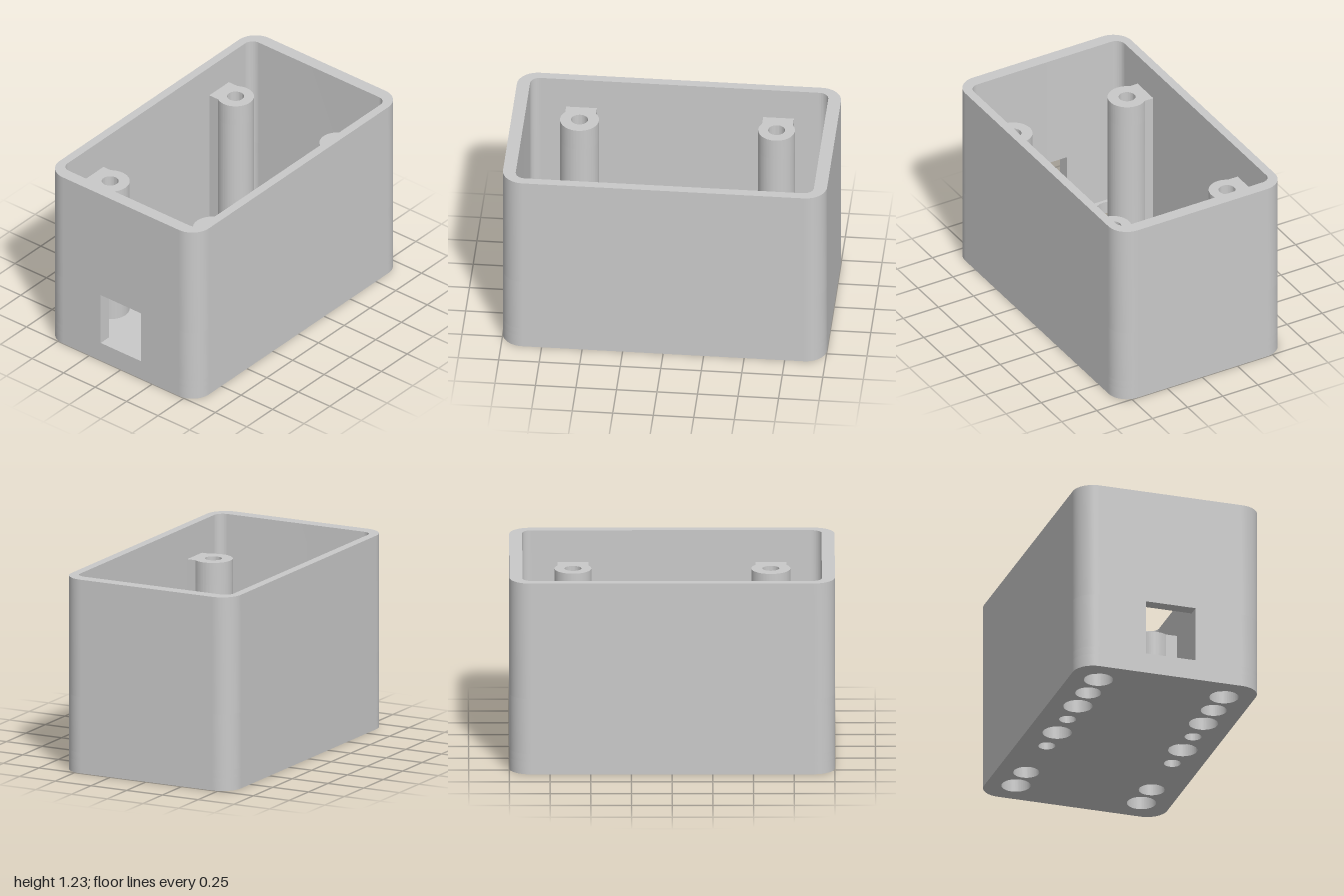
import * as THREE from 'three';
import { toCreasedNormals } from 'three/addons/utils/BufferGeometryUtils.js';

const HX = 1, HZ = 0.592, R = 0.13;        // outer shell
const IX = 0.92, IZ = 0.537, IR = 0.06;    // inner cavity
const HEIGHT = 1.225, FLOOR = 0.08;
const SILL = 0.13, LINTEL = 0.483, GAP = 0.16; // side opening
const ROW_Z = 0.406;

// Clockwise rounded rectangle, starting and ending on the -x side, open by 2 * gap.
// A short straight step on both ends of each corner keeps the flat walls evenly shaded.
function outline(hx, hz, r, gap = 0) {
  const n = 14;
  const pts = [new THREE.Vector2(-hx, gap)];
  const corners = [[-1, 1, Math.PI], [1, 1, Math.PI / 2], [1, -1, 0], [-1, -1, -Math.PI / 2]];
  for (const [sx, sy, start] of corners) {
    for (let i = -1; i <= n + 1; i++) {
      const k = THREE.MathUtils.clamp(i, 0, n);
      const a = start - (k / n) * Math.PI / 2;
      const step = (i - k) * 0.005;
      pts.push(new THREE.Vector2(
        sx * (hx - r) + r * Math.cos(a) + step * Math.sin(a),
        sy * (hz - r) + r * Math.sin(a) - step * Math.cos(a)));
    }
  }
  if (gap > 0) pts.push(new THREE.Vector2(-hx, -gap));
  return pts;
}

// Counter-clockwise, opposite to the outlines, so that bores face inwards.
function circleHole(x, y, r) {
  return new THREE.Path().absarc(x, y, r, 0, Math.PI * 2, false);
}

// Extrudes a plan shape upwards between two heights.
function slab(shape, y0, y1) {
  const geo = new THREE.ExtrudeGeometry(shape, { depth: y1 - y0, bevelEnabled: false, curveSegments: 40 });
  geo.rotateX(-Math.PI / 2).translate(0, y0, 0);
  return toCreasedNormals(geo, 0.5);
}

function ringShape() {
  const shape = new THREE.Shape(outline(HX, HZ, R));
  shape.holes.push(new THREE.Path(outline(IX, IZ, IR).reverse()));
  return shape;
}

// Round post with a straight rib that reaches the wall on the -z side.
function postShape(r, bore) {
  const w = 0.095, wall = IZ - ROW_Z + 0.005;
  const a = Math.acos(w / r);
  const shape = new THREE.Shape();
  shape.moveTo(-w, wall);
  shape.lineTo(w, wall);
  shape.lineTo(w, r * Math.sin(a));
  shape.absarc(0, 0, r, a, Math.PI - a, true);
  shape.closePath();
  shape.holes.push(circleHole(0, 0, bore));
  return shape;
}

export function createModel() {
  const group = new THREE.Group();
  group.name = 'enclosure';
  const grey = new THREE.MeshStandardMaterial({ color: 0xc9c9c9 });
  grey.name = 'grey plastic';
  const add = (name, geo, parent = group) => {
    const mesh = new THREE.Mesh(geo, grey);
    mesh.name = name;
    parent.add(mesh);
  };

  // Floor with two rows of holes: [x, radius]
  const holes = [[-0.81, 0.09], [-0.608, 0.08], [-0.405, 0.09], [-0.203, 0.052],
    [0, 0.09], [0.203, 0.052], [0.608, 0.08], [0.81, 0.09]];
  const floor = new THREE.Shape(outline(HX, HZ, R));
  for (const [x, r] of holes) {
    for (const s of [-1, 1]) floor.holes.push(circleHole(x, s * ROW_Z, r));
  }
  add('floor', slab(floor, 0, FLOOR));

  // Walls, with the middle band open on the -x side
  add('lowerWall', slab(ringShape(), FLOOR, SILL));
  const open = [...outline(HX, HZ, R, GAP), ...outline(IX, IZ, IR, GAP).reverse()];
  add('openingWall', slab(new THREE.Shape(open), SILL, LINTEL));
  add('upperWall', slab(ringShape(), LINTEL, HEIGHT));

  // Screw posts: wide bore from below, narrow bore at the top
  for (const [x, r] of [[-0.608, 0.12], [0.608, 0.113]]) {
    for (const s of [-1, 1]) {
      const post = new THREE.Group();
      post.name = (s < 0 ? 'back' : 'front') + (x < 0 ? 'Right' : 'Left') + 'ScrewPost';
      add('postShaft', slab(postShape(r, 0.08), FLOOR, 0.88), post);
      add('postHead', slab(postShape(r, 0.052), 0.88, 1.02), post);
      post.position.set(x, 0, s * ROW_Z);
      if (s > 0) post.rotation.y = Math.PI;
      group.add(post);
    }
  }
  return group;
}
